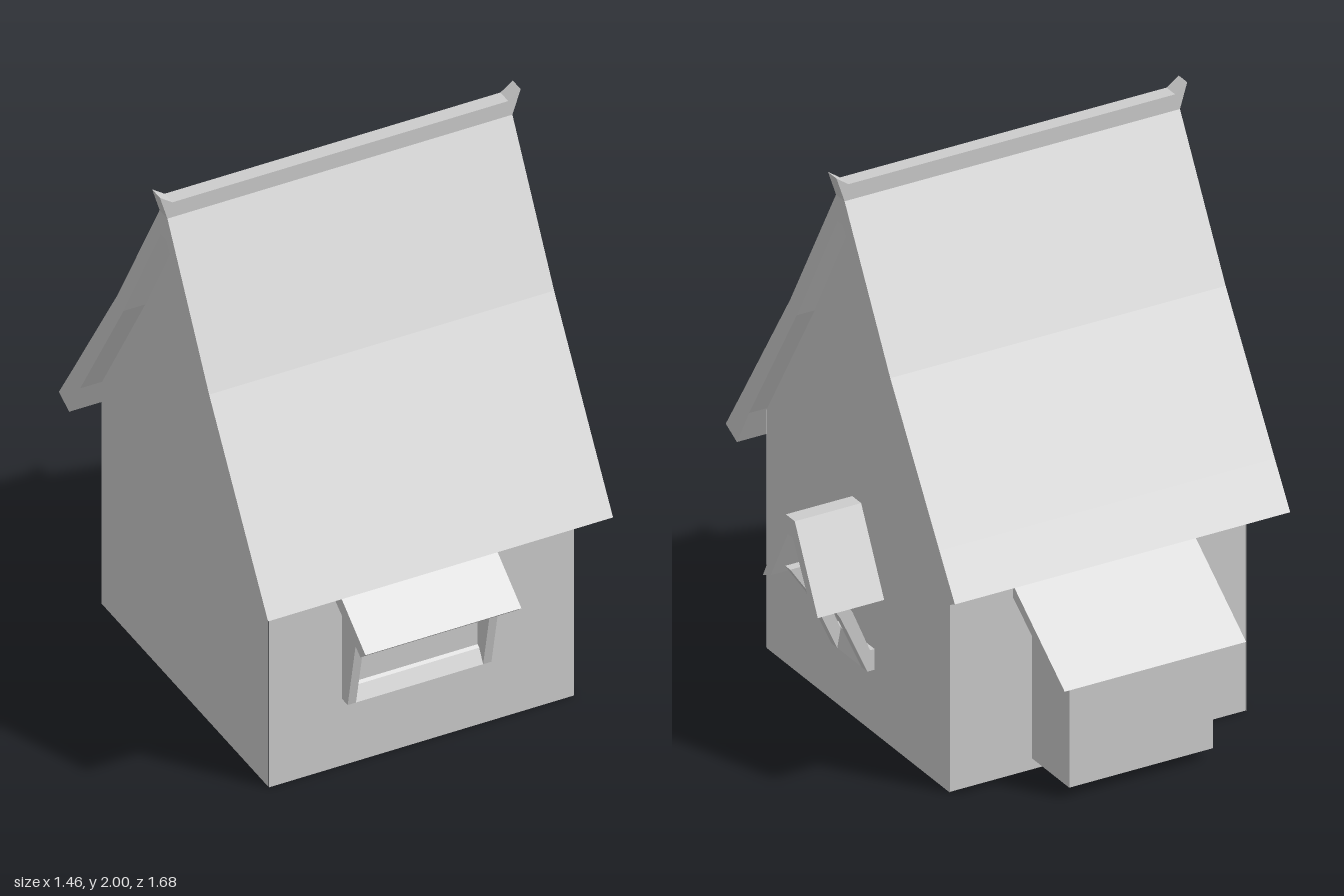
import * as THREE from 'three';

const stone = new THREE.MeshStandardMaterial({ color: 0xcccccc, side: THREE.DoubleSide });
stone.name = 'plain grey';

const MID = 0.058; // z of the roof ridge
const WALL = { x0: -0.625, x1: 0.478, z0: -0.515, z1: 0.637 };

const shapeOf = (pts) => new THREE.Shape(pts.map(([a, b]) => new THREE.Vector2(a, b)));

// [offset, y] points mirrored about a centre line, closing a symmetric outline
const mirrored = (half, centre) => [
  ...half.map(([d, y]) => [centre + d, y]),
  ...half.slice().reverse().map(([d, y]) => [centre - d, y]),
];

// Prism with a [z, y] profile running from x0 to x1
function alongX(pts, x0, x1) {
  return new THREE.ExtrudeGeometry(shapeOf(pts), { depth: x1 - x0, bevelEnabled: false })
    .rotateY(-Math.PI / 2).translate(x1, 0, 0);
}

// Prism with an [x, y] profile running from z0 to z1
function alongZ(pts, z0, z1) {
  return new THREE.ExtrudeGeometry(shapeOf(pts), { depth: z1 - z0, bevelEnabled: false })
    .translate(0, 0, z0);
}

// Flat sheet with a [z, y] outline; side is +1 (faces +x) or -1
function sheetX(pts, x, side) {
  const outline = side > 0 ? pts.map(([z, y]) => [-z, y]) : pts;
  return new THREE.ShapeGeometry(shapeOf(outline)).rotateY(side * Math.PI / 2).translate(x, 0, 0);
}

// Upright rectangle facing +z or -z
function sheetZ(x0, x1, y0, y1, z, side) {
  const g = new THREE.PlaneGeometry(x1 - x0, y1 - y0);
  if (side < 0) g.rotateY(Math.PI);
  return g.translate((x0 + x1) / 2, (y0 + y1) / 2, z);
}

export function createModel() {
  const house = new THREE.Group();
  house.name = 'house';
  const group = (name) => {
    const g = new THREE.Group();
    g.name = name;
    house.add(g);
    return g;
  };
  const add = (parent, name, geometry) => {
    const m = new THREE.Mesh(geometry, stone);
    m.name = name;
    parent.add(m);
  };

  // Walls: an open-bottomed shell with steep gables
  const walls = group('walls');
  const gable = mirrored([[0.577, 0], [0.577, 0.865], [0.275, 1.36], [0.02, 1.82]], MID);
  add(walls, 'leftGable', sheetX(gable, WALL.x1, 1));
  add(walls, 'rightGable', sheetX(gable, WALL.x0, -1));
  add(walls, 'frontWall', sheetZ(WALL.x0, WALL.x1, 0, 0.865, WALL.z1, 1));
  add(walls, 'backWall', sheetZ(WALL.x0, WALL.x1, 0, 0.865, WALL.z0, -1));

  // Main roof: bent slabs, flaring towards the eaves
  const roof = group('roof');
  const outer = [[0.722, 0.765], [0.625, 0.915], [0.315, 1.40], [0.027, 1.91]];
  const inner = [[0.018, 1.82], [0.275, 1.36], [0.575, 0.87], [0.652, 0.73]];
  add(roof, 'roofSlabs', alongX([
    ...mirrored(outer, MID),
    ...mirrored(inner.slice().reverse(), MID).reverse(),
  ], -0.703, 0.545));
  add(roof, 'ridgeBeam', alongZ([
    [-0.703, 1.91], [0.545, 1.91], [0.575, 2], [0.53, 1.968], [-0.685, 1.968], [-0.73, 2],
  ], MID - 0.027, MID + 0.027));

  // Front window: slanted cheeks, sill and awning
  const front = group('frontWindow');
  add(front, 'awning', alongX(
    [[0.637, 0.71], [0.637, 0.645], [0.805, 0.535], [0.84, 0.565]], -0.382, 0.182));
  for (const x of [-0.36, 0.13]) {
    add(front, 'cheek', alongX(
      [[0.637, 0.26], [0.675, 0.26], [0.74, 0.575], [0.637, 0.645]], x, x + 0.03));
  }
  add(front, 'sill', alongX(
    [[0.637, 0.26], [0.675, 0.26], [0.648, 0.308], [0.637, 0.315]], -0.33, 0.13));

  // Side window: pitched hood on two bent struts
  const side = group('sideWindow');
  const c = 0.068;
  add(side, 'hood', alongX([
    ...mirrored([[0.173, 0.51], [0.028, 0.795]], c),
    ...mirrored([[0.016, 0.73], [0.125, 0.53]].reverse(), c).reverse(),
  ], WALL.x1, 0.725));
  for (const z of [c - 0.113, c + 0.077]) {
    add(side, 'strut', alongZ([
      [0.478, 0.23], [0.505, 0.23], [0.605, 0.45], [0.68, 0.56],
      [0.625, 0.56], [0.56, 0.46], [0.495, 0.305], [0.478, 0.305],
    ], z, z + 0.036));
  }
  add(side, 'sill', alongZ(
    [[0.478, 0.23], [0.505, 0.23], [0.492, 0.3], [0.478, 0.305]], c - 0.077, c + 0.077));

  // Back lean-to: open-bottomed box under a sloping slab
  const shed = group('backLeanTo');
  const cheek = [[-0.515, 0.04], [-0.515, 0.64], [-0.75, 0.472], [-0.75, 0.04]];
  add(shed, 'leftSide', sheetX(cheek, 0.17, 1));
  add(shed, 'rightSide', sheetX(cheek, -0.365, -1));
  add(shed, 'backPanel', sheetZ(-0.365, 0.17, 0.04, 0.472, -0.75, -1));
  add(shed, 'leanToRoof', alongX(
    [[-0.515, 0.685], [-0.84, 0.447], [-0.8, 0.437], [-0.515, 0.64]], -0.435, 0.24));

  return house;
}
